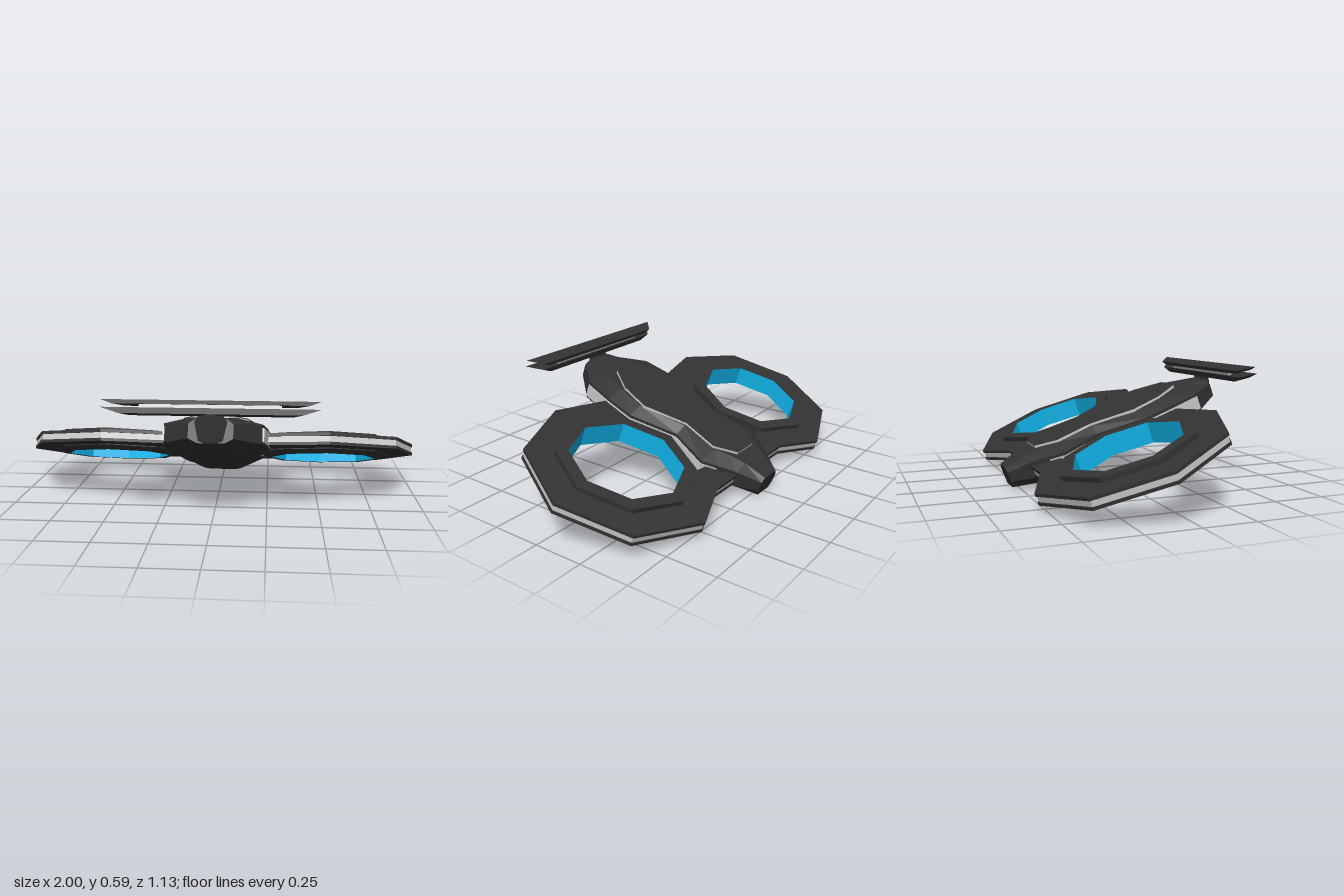
import * as THREE from 'three';
import { ConvexGeometry } from 'three/addons/geometries/ConvexGeometry.js';

const paint = (color, side = THREE.FrontSide) =>
  new THREE.MeshStandardMaterial({ color, side, flatShading: true });
const dark = paint(0x333333);
const light = paint(0xcccccc);
const blue = paint(0x12b8f0);

function part(parent, name, geometry, material) {
  const mesh = new THREE.Mesh(geometry, material);
  mesh.name = name;
  parent.add(mesh);
  return mesh;
}

// Flat slab: outline of [x, z] points between heights y0 and y1
function slab(points, y0, y1) {
  const shape = new THREE.Shape(points.map(([x, z]) => new THREE.Vector2(x, z)));
  return new THREE.ExtrudeGeometry(shape, { depth: y1 - y0, bevelEnabled: false })
    .rotateX(Math.PI / 2).translate(0, y1, 0);
}

// Mirrored outline from the [x, z] points of one half
const bothSides = (half) => [...half, ...half.map(([x, z]) => [-x, z]).reverse()];

// Convex solid from [x, y, z] points, mirrored across x
const hull = (points) => new ConvexGeometry(points.flatMap(([x, y, z]) =>
  [new THREE.Vector3(x, y, z), new THREE.Vector3(-x, y, z)]));

// Eight-cornered cross-sections joined along z, with capped ends
function loft(stations) {
  const pos = [], index = [];
  for (const [z, topX, topY, sideX, highY, lowY, botX, botY] of stations) {
    const half = [[botX, botY], [sideX, lowY], [sideX, highY], [topX, topY]];
    for (const [x, y] of bothSides(half)) pos.push(x, y, z);
  }
  const last = (stations.length - 1) * 8;
  for (let s = 0; s < last; s += 8) {
    for (let i = 0; i < 8; i++) {
      const a = s + i, b = s + (i + 1) % 8;
      index.push(a, b, b + 8, a, b + 8, a + 8);
    }
  }
  for (let i = 1; i < 7; i++) {
    index.push(0, i + 1, i, last, last + i, last + i + 1);
  }
  const g = new THREE.BufferGeometry();
  g.setAttribute('position', new THREE.Float32BufferAttribute(pos, 3));
  g.setIndex(index);
  const flat = g.toNonIndexed();
  flat.computeVertexNormals();
  return flat;
}

function addBody(craft) {
  // z, top half width, top y, side half width, side upper y, side lower y, bottom half width, bottom y
  part(craft, 'hull', loft([
    [-0.59, 0.05, 0.033, 0.07, 0.01, -0.04, 0.05, -0.073],
    [-0.48, 0.08, 0.058, 0.14, 0.03, -0.05, 0.06, -0.098],
    [-0.404, 0.11, 0.068, 0.19, 0.035, -0.055, 0.07, -0.115],
    [-0.33, 0.14, 0.068, 0.23, 0.035, -0.055, 0.1, -0.115],
    [-0.13, 0.12, 0.068, 0.17, 0.035, -0.055, 0.09, -0.115],
    [0.1, 0.19, 0.068, 0.26, 0.035, -0.055, 0.14, -0.115],
    [0.25, 0.17, 0.068, 0.25, 0.035, -0.055, 0.14, -0.115],
    [0.4, 0.11, 0.064, 0.23, 0.035, -0.055, 0.12, -0.11],
    [0.556, 0.07, 0.037, 0.1, 0.015, -0.05, 0.06, -0.071],
  ]), dark);

  // Pale band along the flanks
  part(craft, 'sideBand', slab(bothSides([
    [0.193, -0.4], [0.234, -0.33], [0.174, -0.13], [0.264, 0.1], [0.254, 0.25], [0.234, 0.405],
  ]), -0.045, 0.02), light);

  // Top cover with a pale lip
  const cover = bothSides([
    [0.07, -0.42], [0.14, -0.32], [0.11, -0.13], [0.19, 0.08], [0.155, 0.24], [0.07, 0.371],
  ]);
  part(craft, 'coverLip', slab(cover, 0.06, 0.08), light);
  part(craft, 'topCover', slab(cover, 0.08, 0.084), dark);
}

function addRotor(craft, s) {
  const rotor = new THREE.Group();
  rotor.name = s > 0 ? 'leftRotor' : 'rightRotor';
  rotor.position.set(0.54 * s, 0, -0.125);
  craft.add(rotor);

  // C-shaped frame with two arms reaching into the hull, relative to the ring centre
  const R = 0.46, r = 0.31, k = Math.SQRT1_2;
  const frame = [
    [-0.4, 0.395], [-0.28, 0.395], [0, R], [R * k, R * k], [R, 0], [R * k, -R * k], [0, -R],
    [-0.24, -0.36], [-0.44, -0.36], [-0.44, -0.24], [-r * k, -r * k], [0, -r],
    [r * k, -r * k], [r, 0], [r * k, r * k], [0, r], [-r * k, r * k], [-0.4, 0.235],
  ].map(([x, z]) => [x * s, z]);
  const inset = frame.map(([x, z]) => [x * 0.988, z * 0.988]);
  part(rotor, 'frameBottom', slab(frame, -0.044, -0.03), dark);
  part(rotor, 'frameStrip', slab(inset, -0.03, -0.002), light);
  part(rotor, 'frameTop', slab(frame, -0.002, 0.013), dark);

  // Octagonal collar and its blue lining
  const lathe = (pts) =>
    new THREE.LatheGeometry(pts.map(([x, y]) => new THREE.Vector2(x, y)), 8);
  part(rotor, 'collar', lathe([
    [0.268, -0.066], [0.3, -0.066], [0.33, -0.048], [0.33, 0.036], [0.268, 0.038],
  ]), dark);
  part(rotor, 'lining', lathe([[0.268, 0.038], [0.268, -0.066]]), blue);
}

function addFrontWing(craft) {
  part(craft, 'wingStrut', hull([
    [0.08, 0.02, 0.55], [0.06, -0.071, 0.55], [0.05, 0.055, 0.565],
    [0, -0.071, 0.562], [0, 0.055, 0.62],
  ]), dark);
  const plate = (name, y0, rear0, front0, y1, rear1, front1) => part(craft, name, hull([
    [rear0, y0, 0.56], [front0, y0, 0.622], [rear1, y1, 0.56], [front1, y1, 0.624],
  ]), dark);
  plate('wingLower', 0.048, 0.36, 0.4, 0.074, 0.42, 0.48);
  plate('wingUpper', 0.09, 0.38, 0.43, 0.108, 0.42, 0.48);
  part(craft, 'wingStrip', slab(bothSides([[0.31, 0.567], [0.31, 0.618]]), 0.074, 0.09), light);
}

export function createModel() {
  const model = new THREE.Group();
  model.name = 'aircraft';

  // The whole craft pitches nose-up by 20 degrees
  const craft = new THREE.Group();
  craft.name = 'pitchedCraft';
  craft.position.y = 0.27;
  craft.rotation.x = -Math.PI / 9;
  model.add(craft);

  addBody(craft);
  for (const s of [1, -1]) addRotor(craft, s);
  addFrontWing(craft);
  return model;
}
